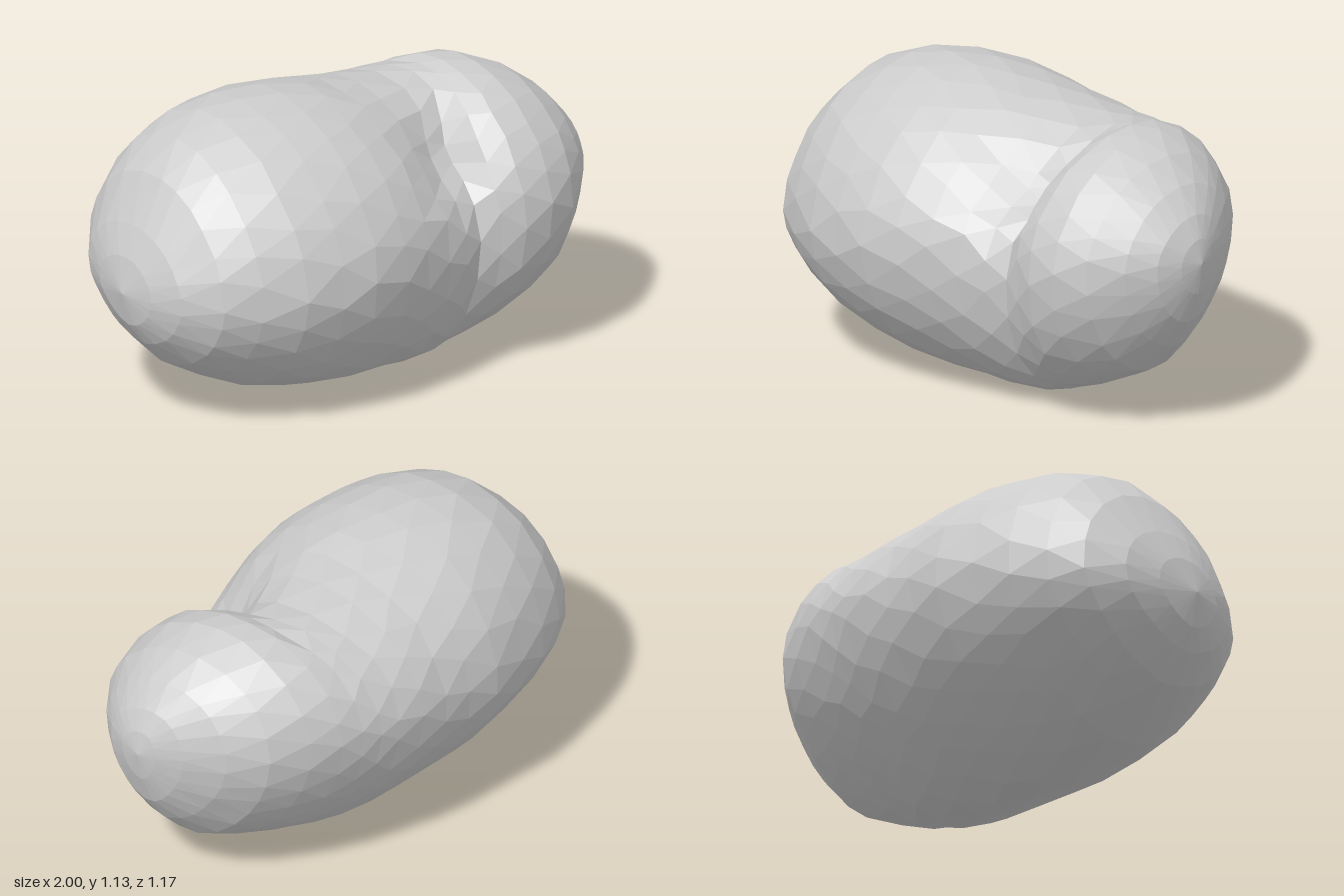
import * as THREE from 'three';

// Cross-sections along the body: x, top y, bottom y, front z, back z
const SECTIONS = [
  [-0.97, 0.66, 0.40, 0.14, -0.17],
  [-0.92, 0.77, 0.32, 0.26, -0.30],
  [-0.82, 0.94, 0.22, 0.39, -0.42],
  [-0.70, 1.05, 0.15, 0.47, -0.49],
  [-0.55, 1.11, 0.08, 0.54, -0.54],
  [-0.40, 1.13, 0.04, 0.57, -0.57],
  [-0.25, 1.13, 0.01, 0.58, -0.59],
  [-0.10, 1.11, 0.00, 0.56, -0.58],
  [0.03, 1.08, 0.00, 0.53, -0.57],
  [0.15, 1.06, 0.00, 0.50, -0.56],
  [0.25, 1.04, 0.01, 0.47, -0.54],
  [0.33, 1.04, 0.03, 0.44, -0.52],
  [0.41, 1.04, 0.06, 0.46, -0.50],
  [0.50, 1.06, 0.09, 0.49, -0.47],
  [0.62, 1.06, 0.14, 0.49, -0.42],
  [0.75, 1.01, 0.20, 0.45, -0.34],
  [0.86, 0.93, 0.32, 0.36, -0.22],
  [0.94, 0.84, 0.43, 0.27, -0.08],
  [0.98, 0.76, 0.55, 0.18, 0.02],
];
const SEGMENTS = 24;

function seededNoise(seed) {
  let s = seed;
  return () => {
    s = (s * 16807) % 2147483647;
    return s / 2147483647 - 0.5;
  };
}

const bump = (v, centre, width) => Math.exp(-(((v - centre) / width) ** 2));

// Depth of the fold: gentle slope on the big lobe, steep on the small lobe,
// strongest on the upper front
function foldDepth(x, angle) {
  const turn = Math.atan2(Math.sin(angle - 0.78), Math.cos(angle - 0.78));
  return 0.13 * bump(x, 0.32, x < 0.32 ? 0.2 : 0.065) * bump(turn, 0, 0.58);
}

// Fullness of each diagonal of a section: more at the upper back,
// less at the upper front and along the tapering underside
function fullness(x, s, c) {
  const diagonal = Math.abs(2 * s * c);
  const waist = bump(x, 0.4, 0.35);
  if (s > 0) return 1 + diagonal * (c > 0 ? -0.055 : 0.05 + 0.04 * waist);
  return 1 + diagonal * (c > 0 ? -0.02 + 0.07 * waist : -0.11);
}

function bodyGeometry() {
  const noise = seededNoise(17);
  const positions = [];
  const index = [];
  const n = SEGMENTS;

  // Rings, every second one turned by half a step
  SECTIONS.forEach(([x, top, bottom, front, back], i) => {
    const cy = THREE.MathUtils.lerp(0.53, 0.67, (x + 1) / 2);
    const cz = 0.09 * Math.max(0, x) ** 2;
    for (let j = 0; j < n; j++) {
      const a = ((j + (i % 2) * 0.5 + noise() * 0.3) / n) * Math.PI * 2;
      const c = Math.cos(a);
      const s = Math.sin(a);
      // The fold leans towards the small lobe as it reaches the top
      const lean = 0.08 * bump(a, 1.6, 0.7) * bump(x, 0.33, 0.14);
      const px = x + lean + noise() * 0.03 * (1 - Math.abs(x));
      const dent = foldDepth(x, a);
      const full = fullness(x, s, c);
      const py = cy + s * ((s > 0 ? top - cy : cy - bottom) * full - dent);
      const pz = cz + c * ((c > 0 ? front - cz : cz - back) * full - dent);
      positions.push(px, py, pz);
    }
  });

  // Staggered triangles between neighbouring rings
  const at = (ring, j) => ring * n + (j % n);
  for (let i = 0; i < SECTIONS.length - 1; i++) {
    for (let j = 0; j < n; j++) {
      if (i % 2 === 0) {
        index.push(at(i, j), at(i + 1, j), at(i, j + 1));
        index.push(at(i + 1, j), at(i + 1, j + 1), at(i, j + 1));
      } else {
        index.push(at(i, j), at(i + 1, j + 1), at(i, j + 1));
        index.push(at(i, j), at(i + 1, j), at(i + 1, j + 1));
      }
    }
  }

  // Closed tips
  const last = SECTIONS.length - 1;
  const rightTip = positions.length / 3;
  positions.push(-1, 0.53, 0, 1, 0.67, 0.09);
  for (let j = 0; j < n; j++) {
    index.push(rightTip, at(0, j), at(0, j + 1));
    index.push(at(last, j), rightTip + 1, at(last, j + 1));
  }

  const indexed = new THREE.BufferGeometry();
  indexed.setAttribute('position', new THREE.Float32BufferAttribute(positions, 3));
  indexed.setIndex(index);
  const geometry = indexed.toNonIndexed();
  geometry.computeVertexNormals();
  return geometry;
}

export function createModel() {
  const group = new THREE.Group();
  group.name = 'bean';
  const material = new THREE.MeshStandardMaterial({ color: 0xcccccc, flatShading: true });
  const body = new THREE.Mesh(bodyGeometry(), material);
  body.name = 'beanBody';
  group.add(body);
  return group;
}
